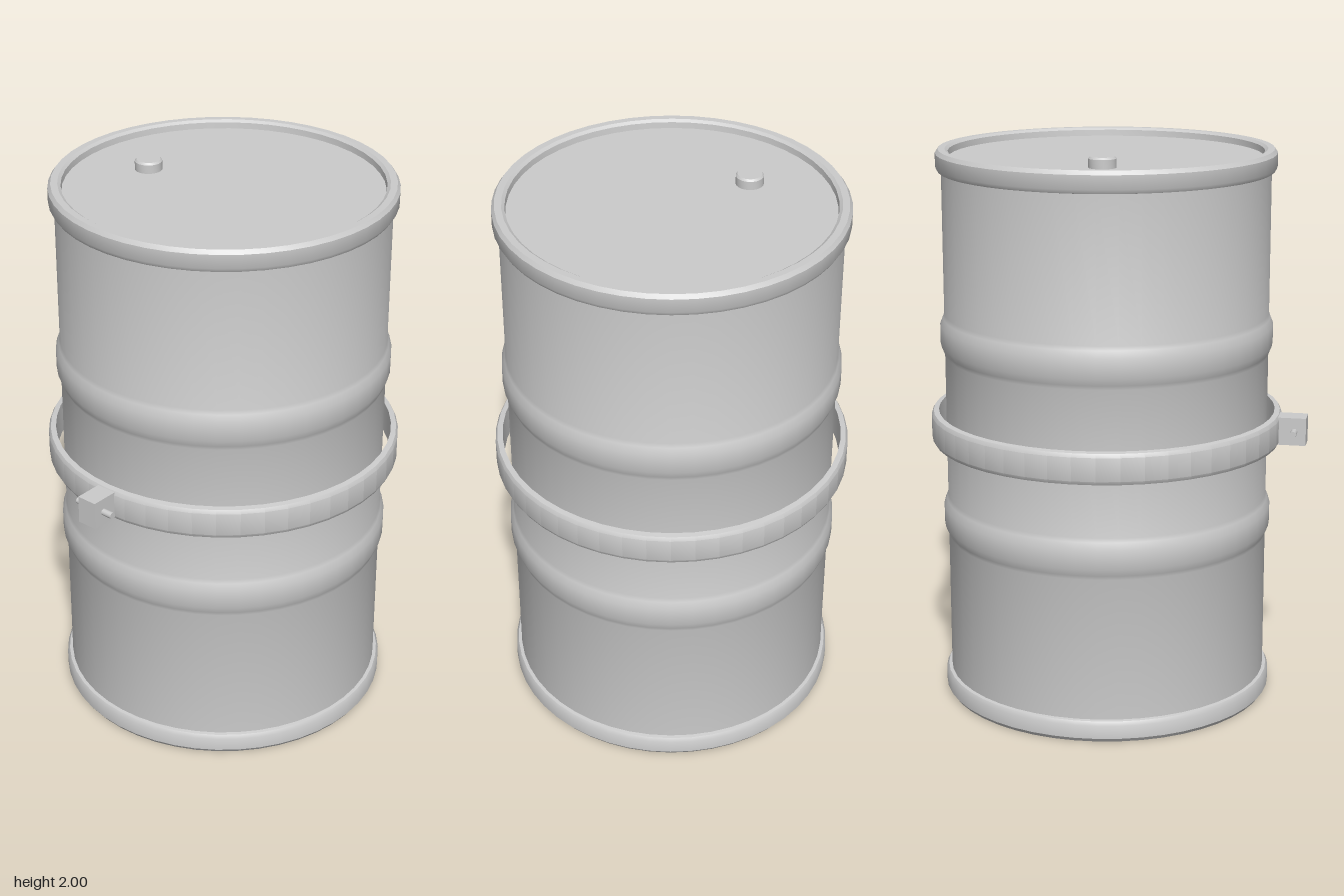
import * as THREE from 'three';
import { toCreasedNormals } from 'three/addons/utils/BufferGeometryUtils.js';

const material = new THREE.MeshStandardMaterial({ color: 0xcccccc, side: THREE.DoubleSide });
const SEGMENTS = 48;

function add(parent, name, geometry, x = 0, y = 0, z = 0) {
  const mesh = new THREE.Mesh(geometry, material);
  mesh.name = name;
  mesh.position.set(x, y, z);
  parent.add(mesh);
  return mesh;
}

// Turned part from [radius, height] pairs, with sharp edges kept sharp
function turned(profile, segments = SEGMENTS, crease = 0.6) {
  const points = profile.map(([r, y]) => new THREE.Vector2(r, y));
  return toCreasedNormals(new THREE.LatheGeometry(points, segments), crease);
}

export function createModel() {
  const model = new THREE.Group();
  model.name = 'drum';
  const drum = new THREE.Group();
  drum.name = 'drumBody';
  drum.position.z = -0.047;
  model.add(drum);

  // Side wall with two rolled hoops
  const wall = [[0.58, 0.05]];
  for (const y of [0.667, 1.335]) {
    wall.push([0.58, y - 0.075], [0.585, y - 0.06], [0.595, y - 0.035],
      [0.595, y + 0.035], [0.585, y + 0.06], [0.58, y + 0.075]);
  }
  wall.push([0.58, 1.95]);
  add(drum, 'wall', turned(wall, SEGMENTS, 0.9));

  // Rolled rims at both ends
  const rim = [[0.58, 0.078], [0.592, 0.076], [0.6, 0.062], [0.6, 0.014], [0.59, 0],
    [0.566, 0], [0.555, 0.008], [0.553, 0.032]];
  add(drum, 'bottomRim', turned([...rim].reverse()));
  add(drum, 'topRim', turned(rim.map(([r, y]) => [r, 1.992 - y])));

  // Recessed end plates
  add(drum, 'bottomPlate', turned([[0, 0.028], [0.56, 0.028]]));
  add(drum, 'lid', turned([[0.56, 1.962], [0, 1.962]]));

  // Bung cap on the lid
  add(drum, 'bungCap', turned([[0.048, 1.96], [0.048, 1.993], [0.042, 2], [0, 2]], 24),
    -0.303, 0, 0.045);

  // Loose clamp band
  add(drum, 'clampBand', turned([[0.607, 0.941], [0.626, 0.944], [0.633, 0.957], [0.633, 1.04],
    [0.626, 1.053], [0.607, 1.056], [0.607, 0.941]], SEGMENTS, 0.5));

  // Clamp lug and its bolt
  add(model, 'clampLug', new THREE.BoxGeometry(0.076, 0.1, 0.1), 0, 1, 0.63);
  const bolt = add(model, 'clampBolt', new THREE.CylinderGeometry(0.012, 0.012, 0.16, 12), 0, 1, 0.638);
  bolt.rotation.z = Math.PI / 2;

  return model;
}
